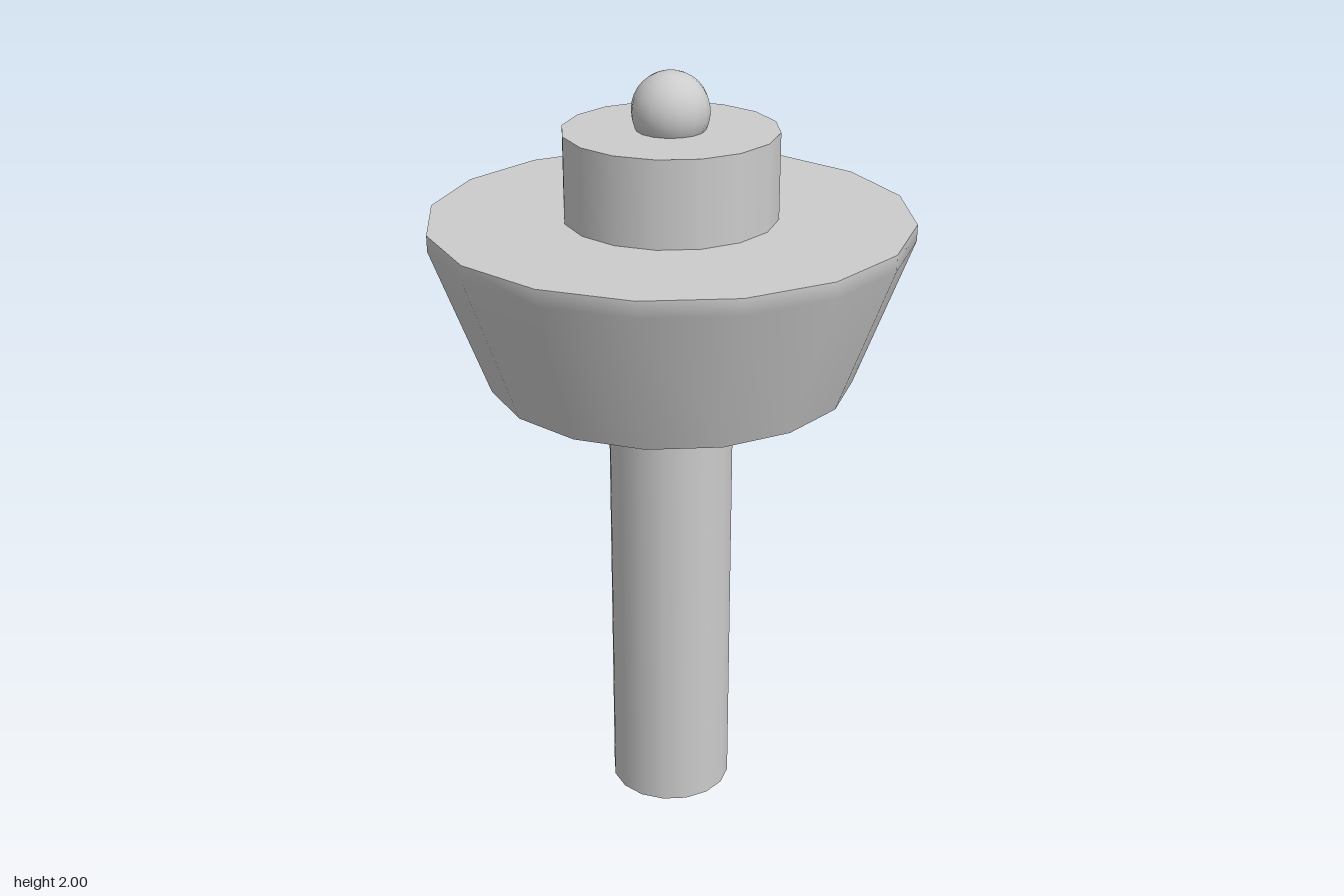
import * as THREE from 'three';

const SIDES = 16;

export function createModel() {
  const model = new THREE.Group();
  const material = new THREE.MeshStandardMaterial({ color: 0xcccccc });

  const add = (name, geometry, y, parent = model) => {
    const mesh = new THREE.Mesh(geometry, material);
    mesh.name = name;
    mesh.position.y = y;
    parent.add(mesh);
    return mesh;
  };
  // Upright cylinder between two heights
  const drum = (name, radius, y0, y1) =>
    add(name, new THREE.CylinderGeometry(radius, radius, y1 - y0, SIDES), (y0 + y1) / 2);

  drum('stem', 0.162, 0, 1.218);

  // Flared head: smooth side with a short upright rim, closed by flat discs
  const head = new THREE.Group();
  head.name = 'head';
  model.add(head);
  const profile = [[0.465, 1.218], [0.606, 1.6], [0.606, 1.641]];
  add('headSide', new THREE.LatheGeometry(profile.map(([r, y]) => new THREE.Vector2(r, y)), SIDES), 0, head);
  add('headTop', new THREE.CircleGeometry(0.606, SIDES).rotateX(-Math.PI / 2), 1.641, head);
  add('headBottom', new THREE.CircleGeometry(0.465, SIDES).rotateX(Math.PI / 2), 1.218, head);

  drum('hub', 0.268, 1.641, 1.858);

  // Ball knob sunk slightly into the hub
  add('knob', new THREE.SphereGeometry(0.097, SIDES, SIDES), 1.903);

  return model;
}
